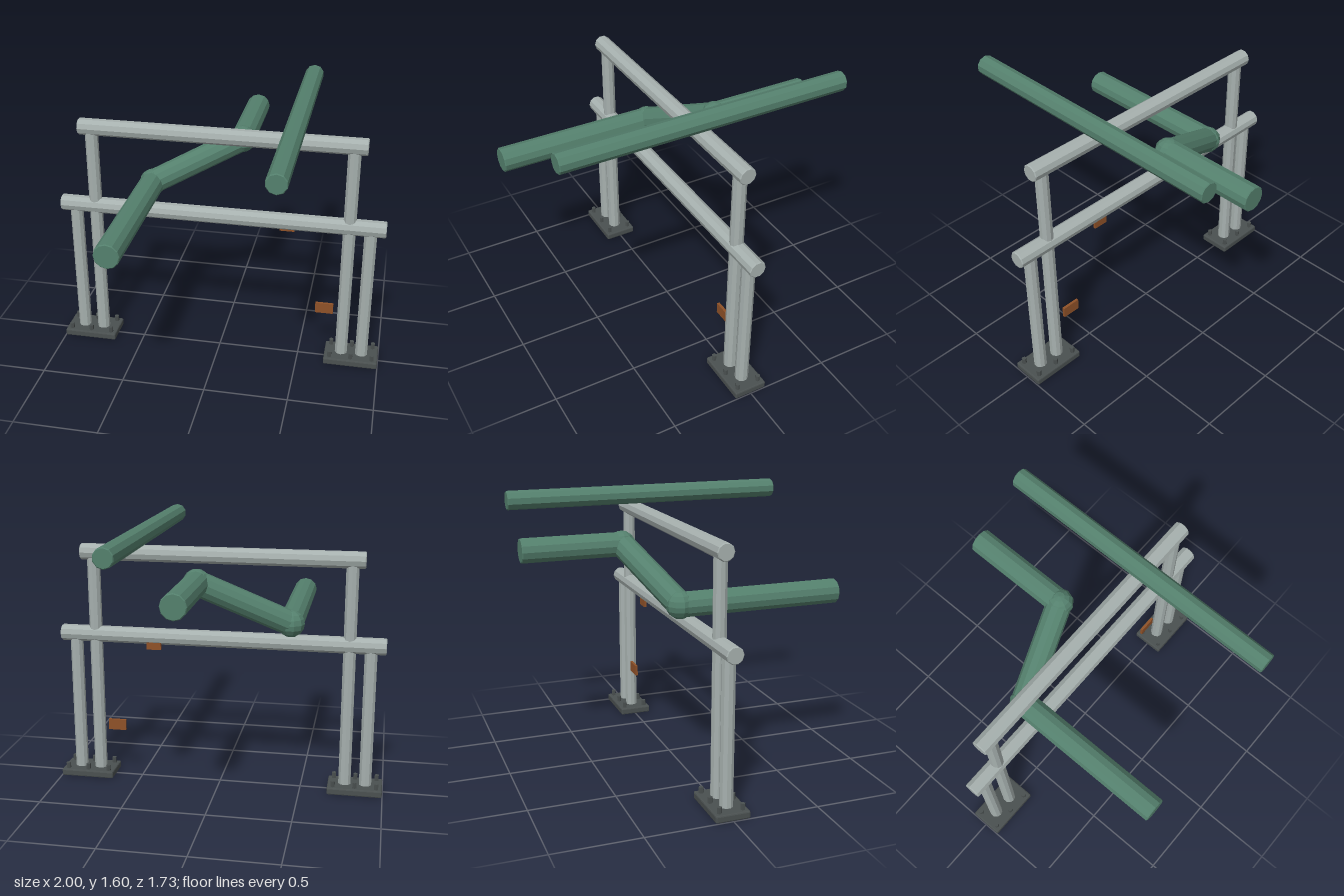
import * as THREE from 'three';
import { RoundedBoxGeometry } from 'three/addons/geometries/RoundedBoxGeometry.js';

const mat = (name, color) => {
  const m = new THREE.MeshStandardMaterial({ color });
  m.name = name;
  return m;
};

// Faceted look: every face gets its own normal
function faceted(geometry) {
  const g = geometry.index ? geometry.toNonIndexed() : geometry;
  g.computeVertexNormals();
  return g;
}

// Round bar with slightly chamfered ends, along y and centred
function barGeometry(radius, length, sides) {
  const h = length / 2, c = 0.005;
  const profile = [[0, -h], [radius - c, -h], [radius, -h + c], [radius, h - c], [radius - c, h], [0, h]];
  return faceted(new THREE.LatheGeometry(profile.map(([x, y]) => new THREE.Vector2(x, y)), sides));
}

export function createModel() {
  const model = new THREE.Group();
  model.name = 'pipeRack';
  const steel = mat('galvanised steel', 0xa6b0ae);
  const green = mat('green pipe', 0x54806d);
  const dark = mat('dark base metal', 0x4a5050);
  const rust = mat('rust tag', 0x8f5128);

  function add(name, geometry, material, x = 0, y = 0, z = 0, parent = model) {
    const mesh = new THREE.Mesh(geometry, material);
    mesh.name = name;
    mesh.position.set(x, y, z);
    parent.add(mesh);
    return mesh;
  }

  // Bar running between two points
  function bar(name, a, b, radius, material, sides = 10) {
    const from = new THREE.Vector3(...a), to = new THREE.Vector3(...b);
    const dir = to.clone().sub(from);
    const mid = from.add(to).multiplyScalar(0.5);
    const mesh = add(name, barGeometry(radius, dir.length(), sides), material, mid.x, mid.y, mid.z);
    mesh.quaternion.setFromUnitVectors(new THREE.Vector3(0, 1, 0), dir.normalize());
    return mesh;
  }

  // Cross beams
  bar('upperBeam', [-0.845, 1.42, 0], [0.845, 1.42, 0], 0.05, steel);
  bar('lowerBeam', [-0.984, 0.915, 0], [0.984, 0.915, 0], 0.05, steel);

  // Paired posts on bolted base plates
  const plateGeo = faceted(new RoundedBoxGeometry(0.33, 0.043, 0.2, 1, 0.008));
  const boltGeo = faceted(new THREE.CylinderGeometry(0.014, 0.014, 0.045, 6));
  for (const [side, s] of [['left', 1], ['right', -1]]) {
    bar(side + 'InnerPost', [s * 0.77, 0.035, 0], [s * 0.77, 1.4, 0], 0.039, steel);
    bar(side + 'OuterPost', [s * 0.895, 0.035, 0], [s * 0.895, 0.9, 0], 0.039, steel);
    const base = new THREE.Group();
    base.name = side + 'Base';
    base.position.x = s * 0.833;
    model.add(base);
    add('basePlate', plateGeo, dark, 0, 0.0215, 0, base);
    for (const x of [-0.13, 0, 0.13])
      for (const z of [-0.068, 0.068]) add('anchorBolt', boltGeo, dark, x, 0.0565, z, base);
  }

  // Straight pipe lying over the rack
  bar('straightPipe', [0.445, 1.545, 0.865], [0.445, 1.545, -0.865], 0.058, green);

  // Offset pipe with two bends
  const route = [[-0.432, 1.055, 0.865], [-0.432, 1.055, -0.094], [0.088, 1.309, -0.262], [0.088, 1.309, -0.865]];
  for (let i = 0; i < 3; i++) bar('bentPipeRun', route[i], route[i + 1], 0.073, green, 12);
  const elbowGeo = faceted(new THREE.SphereGeometry(0.08, 10, 8));
  for (const p of route.slice(1, 3)) add('pipeElbow', elbowGeo, green, ...p);

  // Small tags
  add('beamTag', new THREE.BoxGeometry(0.088, 0.06, 0.016), rust, 0.402, 0.868, -0.028);
  add('postTag', new THREE.BoxGeometry(0.11, 0.067, 0.016), rust, 0.649, 0.336, -0.015);

  return model;
}
